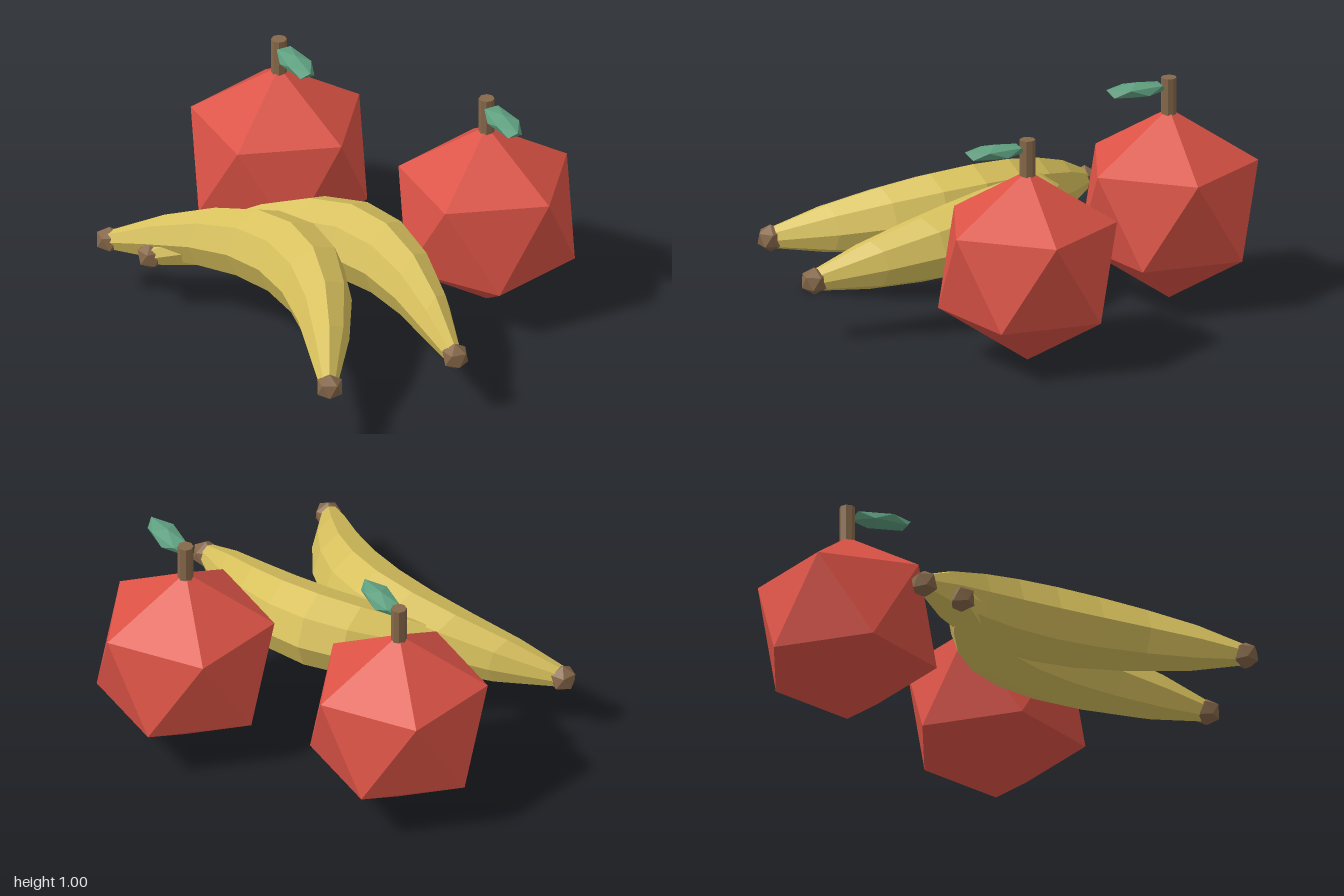
import * as THREE from 'three';
import { ConvexGeometry } from 'three/addons/geometries/ConvexGeometry.js';

const flat = (name, color) => {
  const m = new THREE.MeshStandardMaterial({ color, flatShading: true });
  m.name = name;
  return m;
};

// Icosahedron of radius 1 standing on a corner
function uprightIcosahedron() {
  const pts = [new THREE.Vector3(0, 1, 0), new THREE.Vector3(0, -1, 0)];
  const r = 2 / Math.sqrt(5), h = 1 / Math.sqrt(5);
  for (let i = 0; i < 10; i++) {
    const a = i * Math.PI / 5;
    pts.push(new THREE.Vector3(r * Math.cos(a), i % 2 ? -h : h, r * Math.sin(a)));
  }
  return new ConvexGeometry(pts);
}

// Eight-sided tapered body bowed up and back, rings square to its length
function bananaGeometry(length) {
  const g = new THREE.CylinderGeometry(1, 1, 2, 8, 8);
  g.rotateZ(-Math.PI / 2);
  const p = g.attributes.position;
  for (let i = 0; i < p.count; i++) {
    const s = p.getX(i);
    const bow = Math.max(0, Math.cos(s * Math.PI / 2));
    const r = 0.045 + 0.13 * Math.pow(bow, 0.75);
    p.setXYZ(i, s * length / 2, 0.27 + 0.14 * bow + r * p.getY(i), -0.385 * bow + r * p.getZ(i));
  }
  g.computeVertexNormals();
  return g;
}

export function createModel() {
  const model = new THREE.Group();
  model.name = 'fruit';
  const red = flat('apple red', 0xdc5346);
  const yellow = flat('banana yellow', 0xd8c15d);
  const brown = flat('stem brown', 0x86684a);
  const green = flat('leaf green', 0x5fa080);

  const ico = uprightIcosahedron();
  const stemGeo = new THREE.CylinderGeometry(0.034, 0.034, 0.18, 8);
  const add = (parent, name, geo, mat, x, y, z) => {
    const m = new THREE.Mesh(geo, mat);
    m.name = name;
    m.position.set(x, y, z);
    parent.add(m);
    return m;
  };

  // Apples with stem and leaf
  [[-0.62, -0.23], [0.36, -0.52]].forEach(([x, z]) => {
    const apple = new THREE.Group();
    apple.name = 'apple';
    apple.position.set(x, 0, z);
    add(apple, 'appleBody', ico, red, 0, 0.43, 0).scale.setScalar(0.43);
    add(apple, 'stem', stemGeo, brown, 0, 0.91, 0);
    const leaf = add(apple, 'leaf', ico, green, 0.145, 0.96, 0.042);
    leaf.scale.set(0.153, 0.035, 0.064);
    leaf.rotation.y = -0.29;
    model.add(apple);
  });

  // Bananas with a brown knob at each end
  const length = 1.56;
  const bananaGeo = bananaGeometry(length);
  [[-0.0275, 0.705, -0.122], [0.1775, 0.405, 0.222]].forEach(([x, z, turn]) => {
    const banana = new THREE.Group();
    banana.name = 'banana';
    banana.position.set(x, 0, z);
    banana.rotation.y = turn;
    add(banana, 'bananaBody', bananaGeo, yellow, 0, 0, 0);
    for (const side of [-1, 1]) {
      add(banana, 'bananaTip', ico, brown, side * length / 2, 0.27, 0).scale.setScalar(0.062);
    }
    model.add(banana);
  });

  return model;
}
